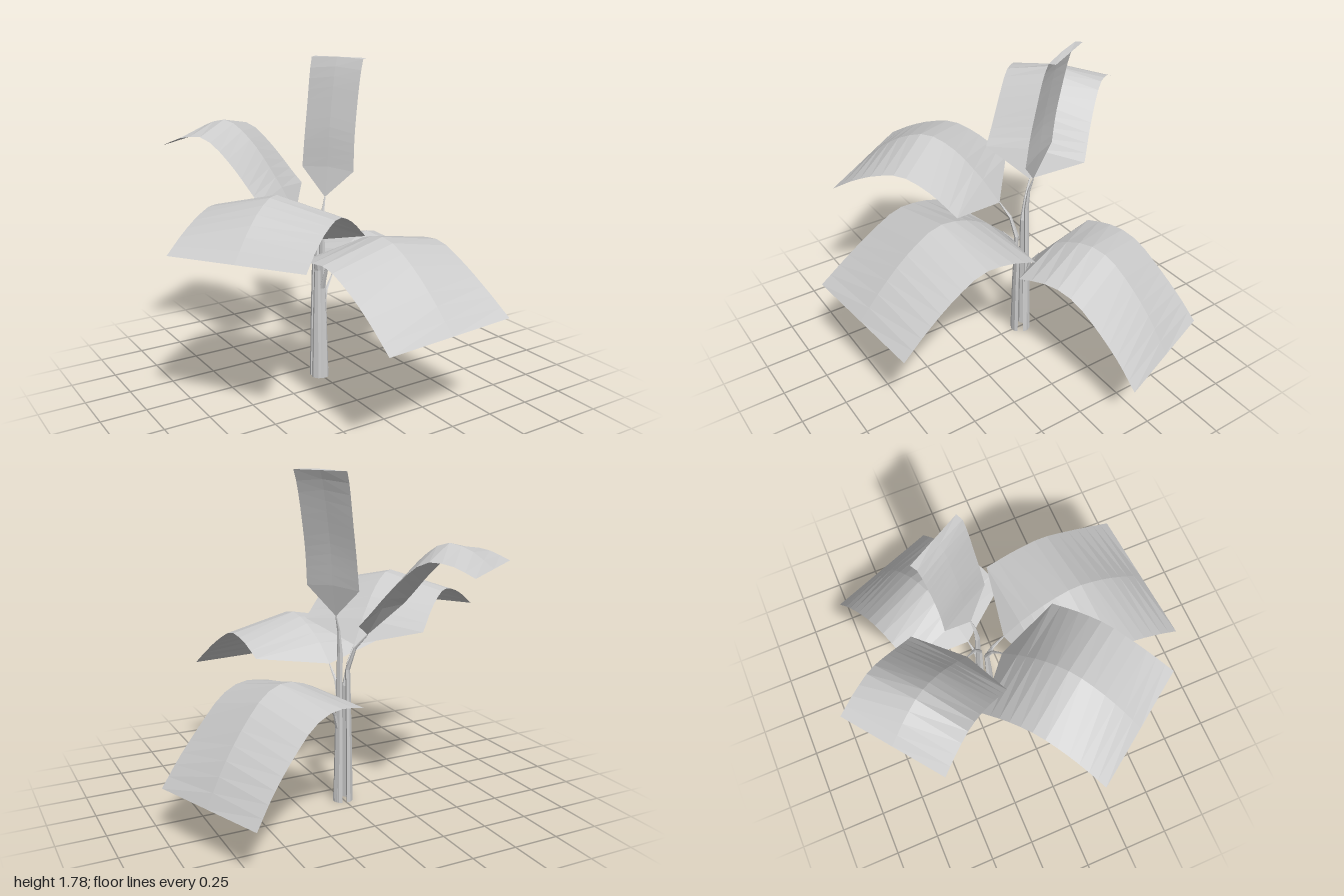
import * as THREE from 'three';

const leafGrey = new THREE.MeshStandardMaterial({ color: 0xcccccc, flatShading: true, side: THREE.DoubleSide });
leafGrey.name = 'pale grey';

const CENTRE = new THREE.Vector3(0, 0, -0.135);

// Each leaf: heading (x, z), stem end (distance from trunk axis, height),
// half width, sag of the edges below the midrib, and midrib as (distance, height).
const LEAVES = [
  { name: 'frontLeaf', dir: [0.09, 0.996], stem: [0.135, 0.735], half: 0.39, sag: 0.08,
    rib: [[0.235, 0.83], [0.38, 0.91], [0.56, 0.945], [0.74, 0.86], [0.9, 0.73], [1.045, 0.58]] },
  { name: 'lowLeftLeaf', dir: [0.937, -0.35], stem: [0.12, 0.58], half: 0.345, sag: 0.08,
    rib: [[0.225, 0.695], [0.33, 0.74], [0.43, 0.76], [0.55, 0.73], [0.68, 0.62], [0.82, 0.45], [0.934, 0.26]] },
  { name: 'rightLeaf', dir: [-0.817, 0.577], stem: [0.13, 0.84], half: 0.355, sag: 0.08,
    rib: [[0.227, 0.965], [0.38, 1.11], [0.54, 1.18], [0.68, 1.15], [0.82, 1.07], [0.958, 0.95]] },
  { name: 'backLeaf', dir: [-0.604, -0.797], stem: [0.14, 0.94], half: 0.285, sag: 0.07,
    rib: [[0.22, 1.085], [0.37, 1.3], [0.485, 1.41], [0.55, 1.44], [0.67, 1.41], [0.786, 1.33]] },
  { name: 'uprightLeaf', dir: [0.875, -0.484], stem: [0.065, 1.035], half: 0.16, sag: 0.03,
    rib: [[0.095, 1.2], [0.115, 1.39], [0.145, 1.56], [0.175, 1.7], [0.2, 1.775], [0.217, 1.8], [0.242, 1.78]] },
];

// Joins equal-length rows of points into a surface.
function loft(rows) {
  const n = rows[0].length;
  const index = [];
  for (let i = 0; i < rows.length - 1; i++) {
    for (let j = 0; j < n - 1; j++) {
      const a = i * n + j, b = a + n;
      index.push(a, a + 1, b, a + 1, b + 1, b);
    }
  }
  const geometry = new THREE.BufferGeometry().setFromPoints(rows.flat());
  geometry.setIndex(index);
  geometry.computeVertexNormals();
  return geometry;
}

function part(name, geometry) {
  const mesh = new THREE.Mesh(geometry, leafGrey);
  mesh.name = name;
  return mesh;
}

export function createModel() {
  const plant = new THREE.Group();
  plant.name = 'broadLeafPlant';

  for (const leaf of LEAVES) {
    const out = new THREE.Vector3(leaf.dir[0], 0, leaf.dir[1]).normalize();
    const side = new THREE.Vector3(out.z, 0, -out.x);
    const at = (d, y) => CENTRE.clone().addScaledVector(out, d).setY(y);
    const [stemD, stemY] = leaf.stem;
    const group = new THREE.Group();
    group.name = leaf.name;

    // Blade: a point at the stem, then ridged sections along the midrib
    const tip = at(stemD, stemY);
    const rows = [[tip, tip.clone(), tip.clone()]];
    const rib = new THREE.CatmullRomCurve3(leaf.rib.map(([d, y]) => at(d, y)));
    const steps = 12;
    for (let i = 0; i <= steps; i++) {
      const t = i / steps;
      const mid = rib.getPointAt(t);
      const half = leaf.half * (1 - 0.04 * Math.sin(Math.PI * t));
      const sag = leaf.sag * Math.sin(Math.PI * (0.15 + 0.85 * t));
      rows.push([-1, 0, 1].map((s) => {
        const p = mid.clone().addScaledVector(side, s * half);
        p.y -= Math.abs(s) * sag;
        return p;
      }));
    }
    group.add(part('blade', loft(rows)));

    // Stalk: flat sheath at the ground, tapering to a thin stem; five form the hollow trunk
    const stalk = [
      [0.043, 0, 0.03, 0.014],
      [0.037, stemY * 0.4, 0.025, 0.013],
      [0.028, stemY - 0.2, 0.018, 0.012],
      [0.014 + stemD * 0.4, stemY - 0.08, 0.01, 0.008],
      [stemD, stemY, 0.004, 0.004],
    ];
    const path = stalk.map(([d, y]) => at(d, y));
    const rings = stalk.map(([, , wide, thick], i) => {
      const along = path[Math.min(i + 1, 4)].clone().sub(path[Math.max(i - 1, 0)]).normalize();
      if (i === 0) along.set(0, 1, 0);
      const normal = side.clone().cross(along).normalize();
      return Array.from({ length: 7 }, (_, k) => {
        const a = (k / 6) * Math.PI * 2;
        return path[i].clone()
          .addScaledVector(side, Math.cos(a) * wide)
          .addScaledVector(normal, Math.sin(a) * thick);
      });
    });
    group.add(part('stalk', loft(rings)));
    plant.add(group);
  }
  return plant;
}
